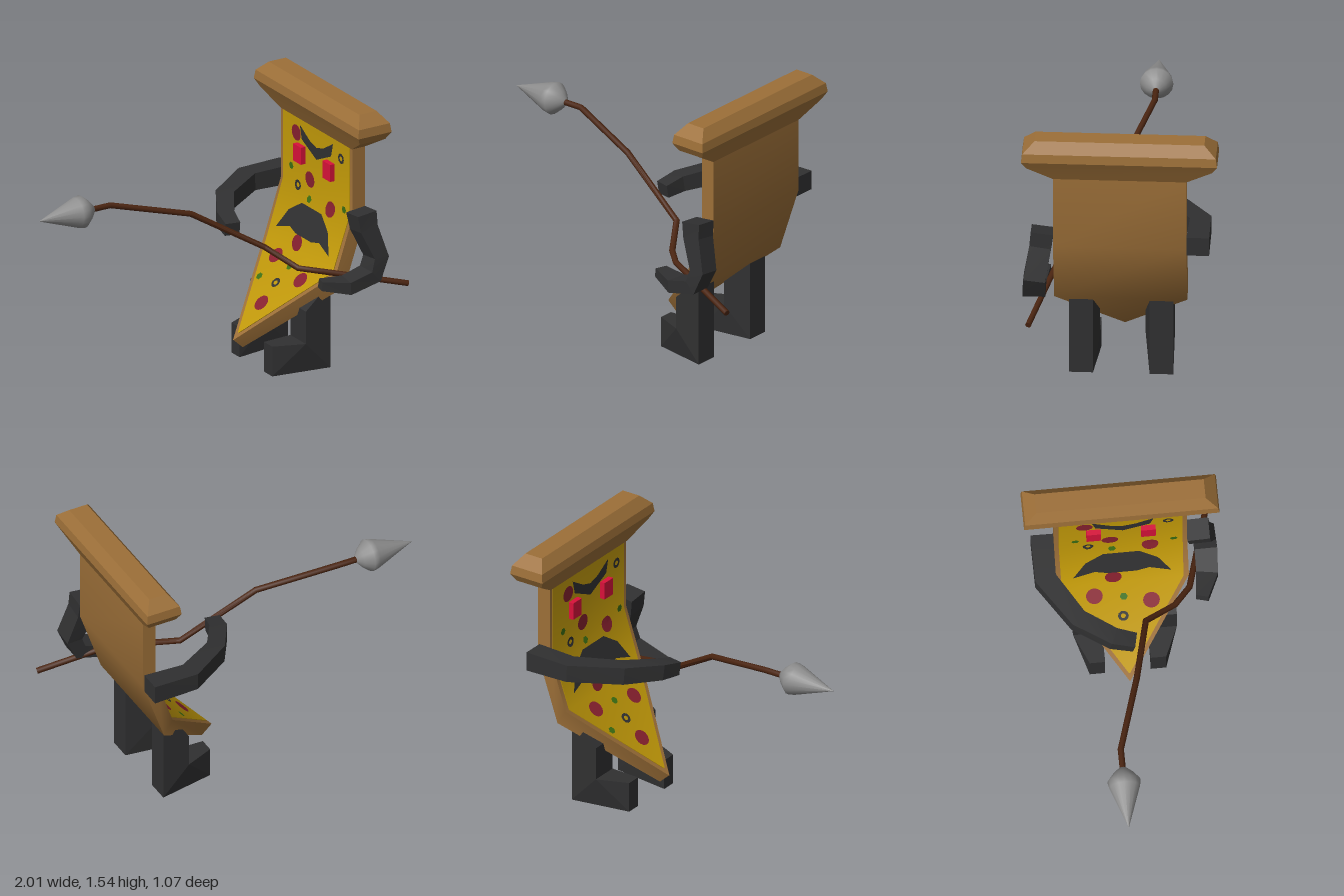
import * as THREE from 'three';
import { toCreasedNormals } from 'three/addons/utils/BufferGeometryUtils.js';

const V = (x, y, z) => new THREE.Vector3(x, y, z);
const mat = (name, color) => {
  const m = new THREE.MeshStandardMaterial({ color });
  m.name = name;
  return m;
};

// Skin a list of equal-length rings and cap both ends
function loft(rings, crease) {
  const pos = [], idx = [], n = rings[0].length, last = (rings.length - 1) * n;
  rings.forEach(r => r.forEach(p => pos.push(p.x, p.y, p.z)));
  for (let i = 0; i < rings.length - 1; i++) {
    for (let j = 0; j < n; j++) {
      const a = i * n + j, b = i * n + (j + 1) % n;
      idx.push(a, b, b + n, a, b + n, a + n);
    }
  }
  for (let j = 1; j < n - 1; j++) idx.push(0, j + 1, j, last, last + j, last + j + 1);
  const g = new THREE.BufferGeometry();
  g.setAttribute('position', new THREE.Float32BufferAttribute(pos, 3));
  g.setIndex(idx);
  return toCreasedNormals(g, crease);
}

// Sweep a profile along mitred points; each point is [x, y, z, width, height]
function sweep(path, profile, ref, crease) {
  const pts = path.map(p => V(p[0], p[1], p[2]));
  const rings = pts.map((p, i) => {
    const before = pts[Math.max(i - 1, 0)], after = pts[Math.min(i + 1, pts.length - 1)];
    const t = p.clone().sub(before).normalize().add(after.clone().sub(p).normalize());
    const inner = i > 0 && i < pts.length - 1;
    const mitre = inner ? 2 / t.length() : 1;
    t.normalize();
    const b = t.clone().cross(ref).normalize();
    const n = b.clone().cross(t);
    return profile.map(([u, v]) => p.clone()
      .addScaledVector(n, u * path[i][4] / 2)
      .addScaledVector(b, v * mitre * path[i][3] / 2));
  });
  return loft(rings, crease);
}

const SQUARE = [[-1, -1], [1, -1], [1, 1], [-1, 1]];
const ROUND = Array.from({ length: 8 }, (_, i) => [Math.cos(i * Math.PI / 4), Math.sin(i * Math.PI / 4)]);

// Horizontal four-cornered ring: back x/y, front x/y, half width
const ring = (bx, by, fx, fy, w) => [V(bx, by, -w), V(bx, by, w), V(fx, fy, w), V(fx, fy, -w)];

// Bent front surface of the slice
const FRONT = [[0.72, 1.3], [0.72, 0.9], [0.615, 0.585], [0.18, 0.17]];
function frontX(y) {
  for (let i = 0; i < 3; i++) {
    const [x0, y0] = FRONT[i], [x1, y1] = FRONT[i + 1];
    if (y >= y1 || i === 2) return x0 + (x1 - x0) * (y0 - y) / (y0 - y1);
  }
}

export function createModel() {
  const model = new THREE.Group();
  const crustMat = mat('crust brown', 0x9c6f38);
  const cheeseMat = mat('cheese yellow', 0xc09808);
  const limbMat = mat('charcoal', 0x303031);
  const salamiMat = mat('salami red', 0x86202e);
  const redMat = mat('eye red', 0xd8123a);
  const greenMat = mat('pepper green', 0x3c6e12);
  const woodMat = mat('dark wood', 0x4a2410);
  const metalMat = mat('grey metal', 0x8e8e8e);

  const add = (name, geo, material) => {
    const m = new THREE.Mesh(geo, material);
    m.name = name;
    model.add(m);
    return m;
  };

  // Bent slab of dough
  add('sliceBase', loft([
    ring(0.8, 1.31, 0.72, 1.31, 0.365),
    ring(0.8, 0.88, 0.72, 0.9, 0.365),
    ring(0.67, 0.5, 0.615, 0.585, 0.365),
    ring(0.24, 0.115, 0.18, 0.17, 0.002),
  ], 0.6), crustMat);

  // Cheese skin on the front
  const cheeseRing = (y, w) => ring(frontX(y), y, frontX(y) - 0.004, y + 0.002, w);
  add('cheese', loft([
    cheeseRing(1.3, 0.34), cheeseRing(0.9, 0.34), cheeseRing(0.585, 0.335), cheeseRing(0.205, 0.004),
  ], 0.6), cheeseMat);

  // Thick faceted crust on top
  add('crust', loft([
    [1.54, 0.055, 0.465], [1.48, 0.1, 0.53], [1.43, 0.107, 0.537], [1.385, 0.083, 0.51], [1.3, 0.042, 0.365],
  ].map(([y, d, w]) => ring(0.758 + d, y, 0.758 - d, y, w)), 0.1), crustMat);

  // Flat details laid on the bent front: u runs along z, v along y
  function paint(name, geo, u, v, material, lift = 0.008) {
    const squash = v < 0.58 ? 0.7 : v < 0.9 ? 0.95 : 1;
    const p = geo.attributes.position;
    for (let i = 0; i < p.count; i++) {
      const z = u + p.getX(i), y = v + p.getY(i) * squash;
      p.setXYZ(i, frontX(y) - lift, y, z);
    }
    geo.computeVertexNormals();
    add(name, geo, material);
  }
  const outline = pts => new THREE.ShapeGeometry(new THREE.Shape(pts.map(p => new THREE.Vector2(...p))));

  [[0, 0.35], [-0.16, 0.535], [0.15, 0.5], [-0.05, 0.63], [0.16, 0.88], [-0.2, 1.21], [-0.06, 0.98]]
    .forEach(([u, v]) => paint('salami', new THREE.CircleGeometry(0.046, 20), u, v, salamiMat, 0.007));
  [[-0.01, 0.445], [0.26, 1.21], [-0.18, 0.91]]
    .forEach(([u, v]) => paint('olive', new THREE.RingGeometry(0.014, 0.03, 10), u, v, limbMat));
  [[-0.16, 0.435], [0, 0.525], [-0.25, 1.0], [-0.05, 0.87], [0.29, 0.92]]
    .forEach(([u, v]) => paint('pepper', new THREE.CircleGeometry(0.022, 6), u, v, greenMat));

  // Angry brow and drooping mouth
  paint('brow', outline([[-0.17, 0.07], [-0.15, -0.01], [0, -0.08], [0.15, -0.01], [0.17, 0.07], [0.07, 0.01], [0, -0.01], [-0.07, 0.01]]),
    0.01, 1.2, limbMat, 0.009);
  paint('mouth', outline([[-0.27, -0.1], [-0.15, -0.06], [-0.08, -0.08], [0.08, -0.08], [0.15, -0.06], [0.27, -0.1],
    [0.2, 0.02], [0.1, 0.09], [-0.1, 0.09], [-0.2, 0.02]]), 0, 0.75, limbMat, 0.012);

  for (const s of [-1, 1]) {
    // Block eyes
    add('eye', new THREE.BoxGeometry(0.04, 0.1, 0.08), redMat).position.set(0.706, 1.105, s * 0.15);

    // Legs with feet, narrowed at the toes and at the inner heel
    const side = new THREE.Shape([[0.3, 0], [0.63, 0.01], [0.63, 0.51], [0.47, 0.37], [0.47, 0.18], [0.3, 0.175]]
      .map(p => new THREE.Vector2(...p)));
    const leg = new THREE.ExtrudeGeometry(side, { depth: 0.16, bevelEnabled: false });
    const p = leg.attributes.position;
    for (let i = 0; i < p.count; i++) {
      const x = p.getX(i), outer = (s > 0) === (p.getZ(i) > 0.08);
      const z = outer ? (x < 0.4 ? 0.21 : 0.285) : (x > 0.6 ? 0.155 : 0.125);
      p.setZ(i, s * z);
    }
    leg.computeVertexNormals();
    add(s > 0 ? 'legA' : 'legB', leg, limbMat);
  }

  // Arm reaching across the front
  add('reachingArm', sweep([
    [0.79, 0.895, -0.427, 0.125, 0.11], [0.54, 0.895, -0.43, 0.115, 0.1], [0.3, 0.88, -0.275, 0.1, 0.1],
    [0.185, 0.855, -0.09, 0.095, 0.09], [0.16, 0.835, 0.025, 0.085, 0.075],
  ], SQUARE, V(0, 1, 0), 0.1), limbMat);

  // Arm hanging down and hooking around the shaft
  add('hookedArm', sweep([
    [0.74, 0.95, 0.425, 0.12, 0.125], [0.75, 0.86, 0.435, 0.11, 0.12], [0.81, 0.69, 0.465, 0.085, 0.12],
    [0.77, 0.595, 0.47, 0.075, 0.125], [0.62, 0.555, 0.465, 0.07, 0.12], [0.475, 0.575, 0.425, 0.05, 0.07],
  ], SQUARE, V(0, 0, 1), 0.1), limbMat);

  // Crooked wooden shaft
  add('spearShaft', sweep([
    [1, 0.495, 0.49], [0.53, 0.62, 0.36], [0.43, 0.63, 0.27], [0.32, 0.72, 0.1],
    [-0.1, 0.975, 0.01], [-0.54, 1.075, -0.12], [-0.67, 1.075, -0.12],
  ].map(p => [...p, 0.034, 0.034]), ROUND, V(0, 1, 0), 0.9), woodMat);

  // Metal point
  const head = new THREE.LatheGeometry([[0, 0], [0.02, 0], [0.055, 0.03], [0.092, 0.075], [0.085, 0.11], [0, 0.35]]
    .map(p => new THREE.Vector2(...p)), 16);
  const tip = add('spearHead', head, metalMat);
  tip.rotation.z = Math.PI / 2;
  tip.position.set(-0.65, 1.077, -0.12);

  return model;
}
